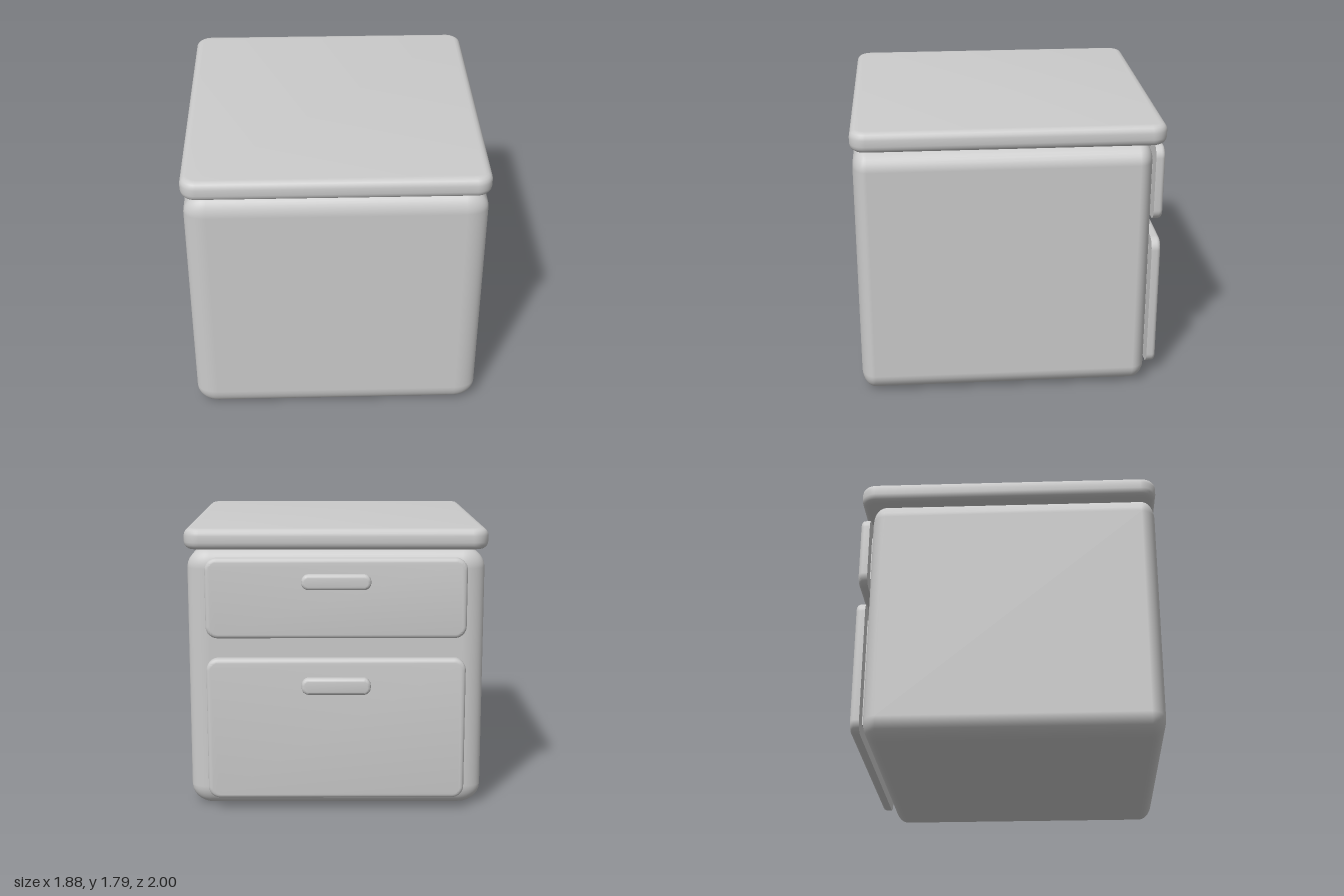
import * as THREE from 'three';
import { toCreasedNormals } from 'three/addons/utils/BufferGeometryUtils.js';
import { RoundedBoxGeometry } from 'three/addons/geometries/RoundedBoxGeometry.js';

const material = new THREE.MeshStandardMaterial({ color: 0xcccccc });

function addMesh(parent, name, geometry, x, y, z) {
  const mesh = new THREE.Mesh(geometry, material);
  mesh.name = name;
  mesh.position.set(x, y, z);
  parent.add(mesh);
  return mesh;
}

// Rounded box whose edge radius differs along each axis
function softBox(w, h, d, rx, ry, rz) {
  return new RoundedBoxGeometry(w / rx, h / ry, d / rz, 4, 1).scale(rx, ry, rz);
}

// Rounded rectangle slab from z = 0 to z = depth with a soft rim; flatBack squares off the z = 0 side
function slab(w, h, depth, radius, bevel, flatBack) {
  const x = w / 2 - bevel, y = h / 2 - bevel, r = radius - bevel;
  const shape = new THREE.Shape();
  shape.absarc(x - r, y - r, r, 0, Math.PI / 2);
  shape.absarc(-x + r, y - r, r, Math.PI / 2, Math.PI);
  shape.absarc(-x + r, -y + r, r, Math.PI, Math.PI * 1.5);
  shape.absarc(x - r, -y + r, r, Math.PI * 1.5, Math.PI * 2);
  const geometry = new THREE.ExtrudeGeometry(shape, {
    depth: depth - bevel * (flatBack ? 1 : 2),
    bevelThickness: bevel, bevelSize: bevel, bevelSegments: 4, curveSegments: 6,
  });
  if (flatBack) {
    const p = geometry.attributes.position;
    for (let i = 0; i < p.count; i++) p.setZ(i, Math.max(0, p.getZ(i)));
  } else {
    geometry.translate(0, 0, bevel);
  }
  return toCreasedNormals(geometry, 0.7);
}

export function createModel() {
  const model = new THREE.Group();
  model.name = 'drawerCabinet';

  // Cabinet body
  addMesh(model, 'body', softBox(1.86, 1.66, 1.86, 0.14, 0.125, 0.09), 0, 0.83, 0.06);

  // Overhanging top
  const top = slab(1.88, 1.945, 0.13, 0.1, 0.045, false).rotateX(-Math.PI / 2);
  addMesh(model, 'top', top, 0, 1.66, 0.0275);

  // Drawers on the back side: [name, bottom, top, handle bottom, handle top, box bottom, box top]
  const drawers = [
    ['upperDrawer', 1.11, 1.61, 1.42, 1.515, 1.2, 1.51],
    ['lowerDrawer', 0.075, 0.98, 0.76, 0.865, 0.16, 0.89],
  ];
  for (const [name, y0, y1, h0, h1, b0, b1] of drawers) {
    const drawer = new THREE.Group();
    drawer.name = name;
    model.add(drawer);
    const panel = slab(1.62, y1 - y0, 0.06, 0.075, 0.025, true).rotateY(Math.PI);
    addMesh(drawer, 'drawerFront', panel, 0, (y0 + y1) / 2, -0.895);
    const handle = slab(0.43, h1 - h0, 0.05, 0.045, 0.02, true).rotateY(Math.PI);
    addMesh(drawer, 'handle', handle, 0, (h0 + h1) / 2, -0.95);
    addMesh(drawer, 'drawerBox', new THREE.BoxGeometry(1.4, b1 - b0, 0.06), 0, (b0 + b1) / 2, -0.87);
  }
  return model;
}
